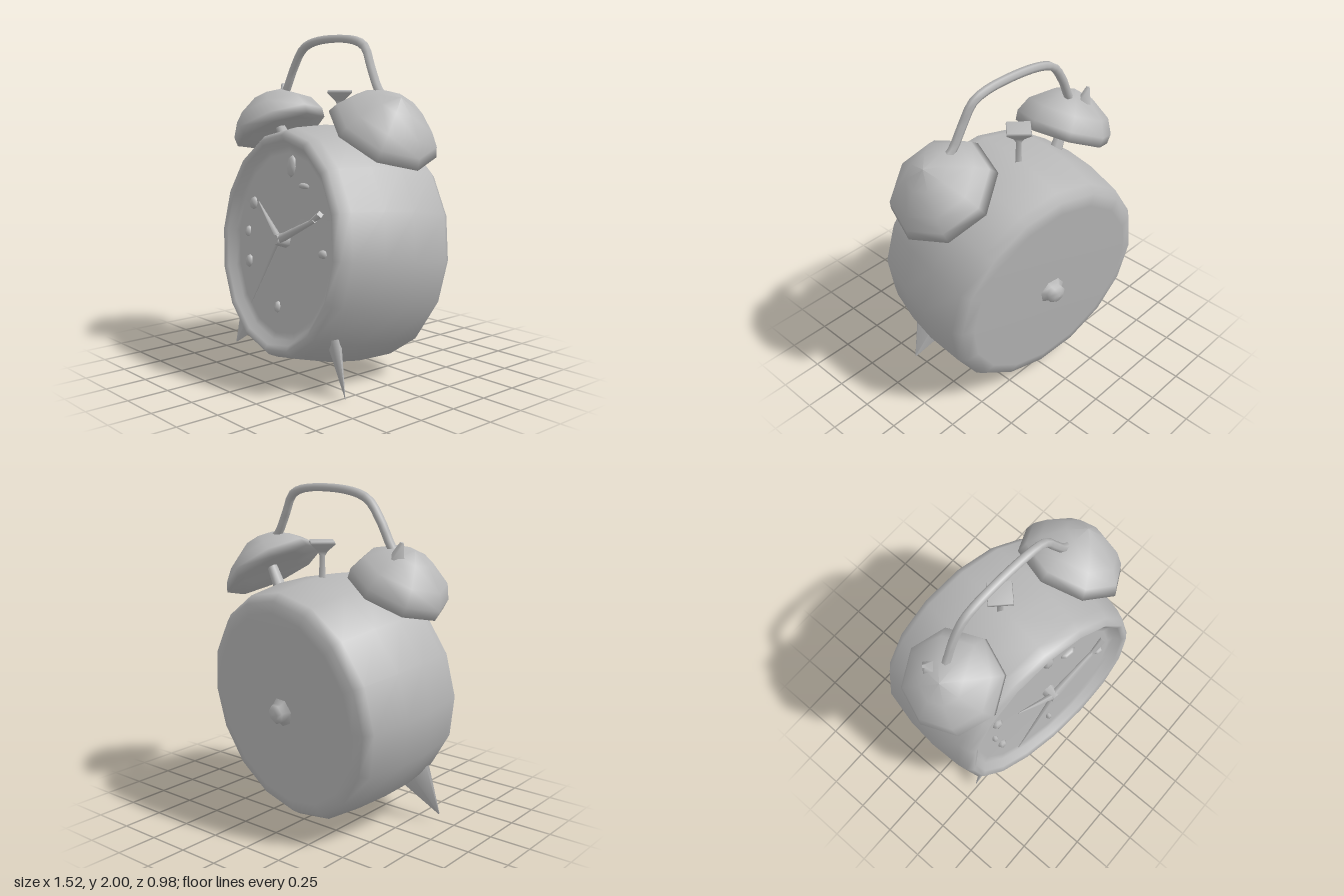
import * as THREE from 'three';

const V = (x, y, z) => new THREE.Vector3(x, y, z);
const metal = new THREE.MeshStandardMaterial({ color: 0xb8b8b8, side: THREE.DoubleSide });
metal.name = 'grey metal';

function add(parent, name, geometry) {
  const mesh = new THREE.Mesh(geometry, metal);
  mesh.name = name;
  parent.add(mesh);
  return mesh;
}

function lathe(points, sides) {
  return new THREE.LatheGeometry(points.map(([r, y]) => new THREE.Vector2(r, y)), sides);
}

// Tapered rod between two points; flat squashes its local z
function rod(parent, name, a, b, ra, rb, sides = 6, flat = 1) {
  const dir = b.clone().sub(a);
  const mesh = add(parent, name, new THREE.CylinderGeometry(rb, ra, dir.length(), sides));
  mesh.position.copy(a).add(b).multiplyScalar(0.5);
  mesh.quaternion.setFromUnitVectors(V(0, 1, 0), dir.normalize());
  mesh.scale.z = flat;
  return mesh;
}

export function createModel() {
  const clock = new THREE.Group();
  clock.name = 'alarmClock';

  // Drum, turned and leaning back a little; its axis is local z
  const body = new THREE.Group();
  body.name = 'body';
  body.position.set(-0.015, 0.757, -0.003);
  body.rotation.set(-0.1, -0.135, 0, 'YXZ');
  clock.add(body);
  const drum = add(body, 'caseAndDial', lathe([
    [0, -0.4], [0.58, -0.4], [0.65, -0.385], [0.69, -0.335], [0.715, -0.1], [0.71, 0.1],
    [0.68, 0.3], [0.66, 0.36], [0.63, 0.39], [0.6, 0.375], [0.57, 0.335], [0.53, 0.325], [0, 0.32],
  ], 16));
  drum.rotation.x = Math.PI / 2;

  // Winding knob on the back
  const knob = add(body, 'windingKnob', lathe([[0, -0.06], [0.035, -0.055], [0.06, -0.035], [0.06, -0.01], [0.1, 0.02]], 7));
  knob.rotation.x = Math.PI / 2;
  knob.position.set(0, -0.01, -0.41);

  // Hands and hub
  const hub = V(0.03, 0.025, 0.37);
  const at = (x, y, z = 0.37) => V(hub.x + x, hub.y + y, z);
  rod(body, 'hub', V(hub.x, hub.y, 0.31), V(hub.x, hub.y, 0.395), 0.05, 0.03, 7);
  rod(body, 'minuteHand', at(0, 0), at(0.36, 0.16), 0.028, 0.014, 5);
  rod(body, 'minuteHandTip', at(0.3, 0.135), at(0.41, 0.2), 0.012, 0.022, 4);
  rod(body, 'hourHand', at(0, 0), at(-0.27, 0.19), 0.022, 0.004, 5);
  rod(body, 'alarmHand', at(0, 0), at(-0.3, -0.43, 0.35), 0.014, 0.003, 4);

  // Raised hour marks: x, y, width, height
  [[0.01, 0.43, 0.08, 0.13], [0.16, 0.33, 0.11, 0.035], [-0.4, 0.17, 0.07, 0.08], [-0.44, -0.01, 0.04, 0.07],
    [-0.4, -0.19, 0.06, 0.08], [-0.02, -0.4, 0.04, 0.07], [0.41, -0.02, 0.07, 0.05]].forEach(([x, y, w, h]) => {
    const mark = add(body, 'hourMark', new THREE.SphereGeometry(0.5, 6, 4));
    mark.scale.set(w, h, 0.05);
    mark.position.set(hub.x + x, hub.y + y, 0.33);
  });

  // Pointed fin-like feet
  rod(clock, 'rightFoot', V(-0.46, 0.3, 0.22), V(-0.65, 0.05, 0.24), 0.13, 0.004, 6, 0.35);
  rod(clock, 'leftFoot', V(0.37, 0.27, 0.29), V(0.515, 0.003, 0.34), 0.14, 0.004, 6, 0.28);

  // Bells: closed domes tilted outward on short posts
  const bells = [
    { side: 'right', pos: V(-0.475, 1.41, 0), up: V(-0.42, 0.9, 0.03), foot: V(-0.38, 1.28, -0.02),
      dome: [[0.29, 0], [0.295, 0.06], [0.25, 0.15], [0.12, 0.24], [0, 0.27]] },
    { side: 'left', pos: V(0.475, 1.44, 0.03), up: V(0.56, 0.83, 0), foot: V(0.36, 1.26, 0),
      dome: [[0.325, 0], [0.3, 0.06], [0.24, 0.13], [0.12, 0.21], [0, 0.247]] },
  ];
  for (const { side, pos, up, foot, dome } of bells) {
    const bell = add(clock, side + 'Bell', lathe([[0, 0.03], [0.2, 0.02], ...dome], 8));
    bell.position.copy(pos);
    bell.quaternion.setFromUnitVectors(V(0, 1, 0), up.clone().normalize());
    rod(clock, side + 'BellPost', foot, pos.clone().addScaledVector(up, 0.06), 0.045, 0.03, 6);
  }
  rod(clock, 'rightBellNut', V(-0.55, 1.62, -0.1), V(-0.58, 1.71, -0.1), 0.05, 0.012, 4);

  // Hammer between the bells
  const hammer = add(clock, 'hammer', lathe([[0.05, 0], [0.025, 0.04], [0.02, 0.16], [0.04, 0.19], [0.1, 0.235], [0.095, 0.25], [0, 0.25]], 4));
  hammer.position.set(-0.005, 1.425, -0.08);

  // Carrying handle, an arch from bell to bell
  const arch = new THREE.CatmullRomCurve3([
    V(-0.5, 1.62, -0.04), V(-0.455, 1.7, -0.045), V(-0.4, 1.81, -0.05), V(-0.3, 1.93, -0.05), V(0, 1.975, -0.035),
    V(0.27, 1.93, -0.015), V(0.345, 1.81, 0), V(0.42, 1.68, 0.01), V(0.5, 1.62, 0.02),
  ], false, 'centripetal');
  add(clock, 'handle', new THREE.TubeGeometry(arch, 28, 0.026, 6));

  return clock;
}
